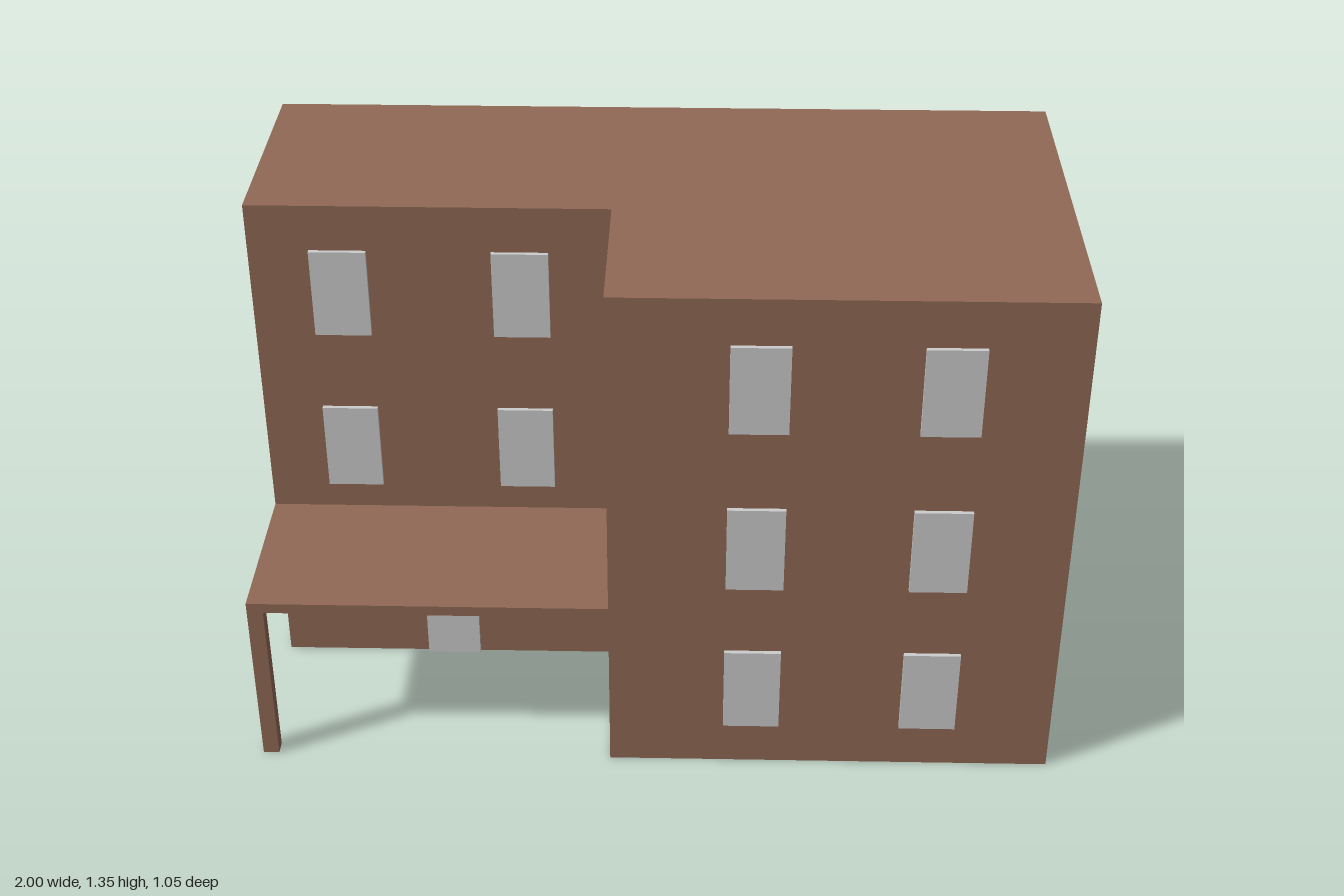
import * as THREE from 'three';

export function createModel() {
  const model = new THREE.Group();
  const brick = new THREE.MeshStandardMaterial({ color: 0x906855 });
  const grey = new THREE.MeshStandardMaterial({ color: 0xcccccc });

  const FRONT = 0.514, BACK = -0.51, RECESS = 0.08, STEP = -0.11, HEIGHT = 1.345;

  // Box given by its minimum and maximum corners
  function box(name, material, x0, x1, y0, y1, z0, z1) {
    const mesh = new THREE.Mesh(new THREE.BoxGeometry(x1 - x0, y1 - y0, z1 - z0), material);
    mesh.position.set((x0 + x1) / 2, (y0 + y1) / 2, (z0 + z1) / 2);
    mesh.name = name;
    model.add(mesh);
  }

  // L-shaped building block, plan drawn in (x, -z) and raised upwards
  const plan = new THREE.Shape([
    [-1, -RECESS], [STEP, -RECESS], [STEP, -FRONT], [1, -FRONT], [1, -BACK], [-1, -BACK],
  ].map(([x, y]) => new THREE.Vector2(x, y)));
  const bodyGeometry = new THREE.ExtrudeGeometry(plan, { depth: HEIGHT, bevelEnabled: false });
  bodyGeometry.rotateX(-Math.PI / 2);
  const body = new THREE.Mesh(bodyGeometry, brick);
  body.name = 'building';
  model.add(body);

  // Entrance canopy filling the recess, with one corner post
  box('canopy', brick, -1, STEP, 0.447, 0.474, RECESS, FRONT);
  box('canopyPost', brick, -1, -0.96, 0, 0.447, 0.478, FRONT);

  // Windows: three floors, the recessed wing has none at ground level
  const W = 0.14, H = 0.232, OUT = 0.011, BACK_OUT = 0.018;
  [0.12, 0.547, 0.993].forEach((y, floor) => {
    for (const x of [0.176, 0.619]) {
      box('frontWindow', grey, x, x + W, y, y + H, FRONT - 0.01, FRONT + OUT);
    }
    if (floor > 0) {
      for (const x of [-0.85, -0.405]) {
        box('recessWindow', grey, x, x + W, y, y + H, RECESS - 0.01, RECESS + OUT);
      }
    }
    for (const x of [-0.772, -0.329, 0.165, 0.609]) {
      box('backWindow', grey, x, x + W, y, y + H, BACK - BACK_OUT, BACK + 0.01);
    }
  });

  // Entrance door under the canopy
  box('door', grey, -0.621, -0.481, 0, 0.235, RECESS - 0.01, RECESS + OUT);

  return model;
}
